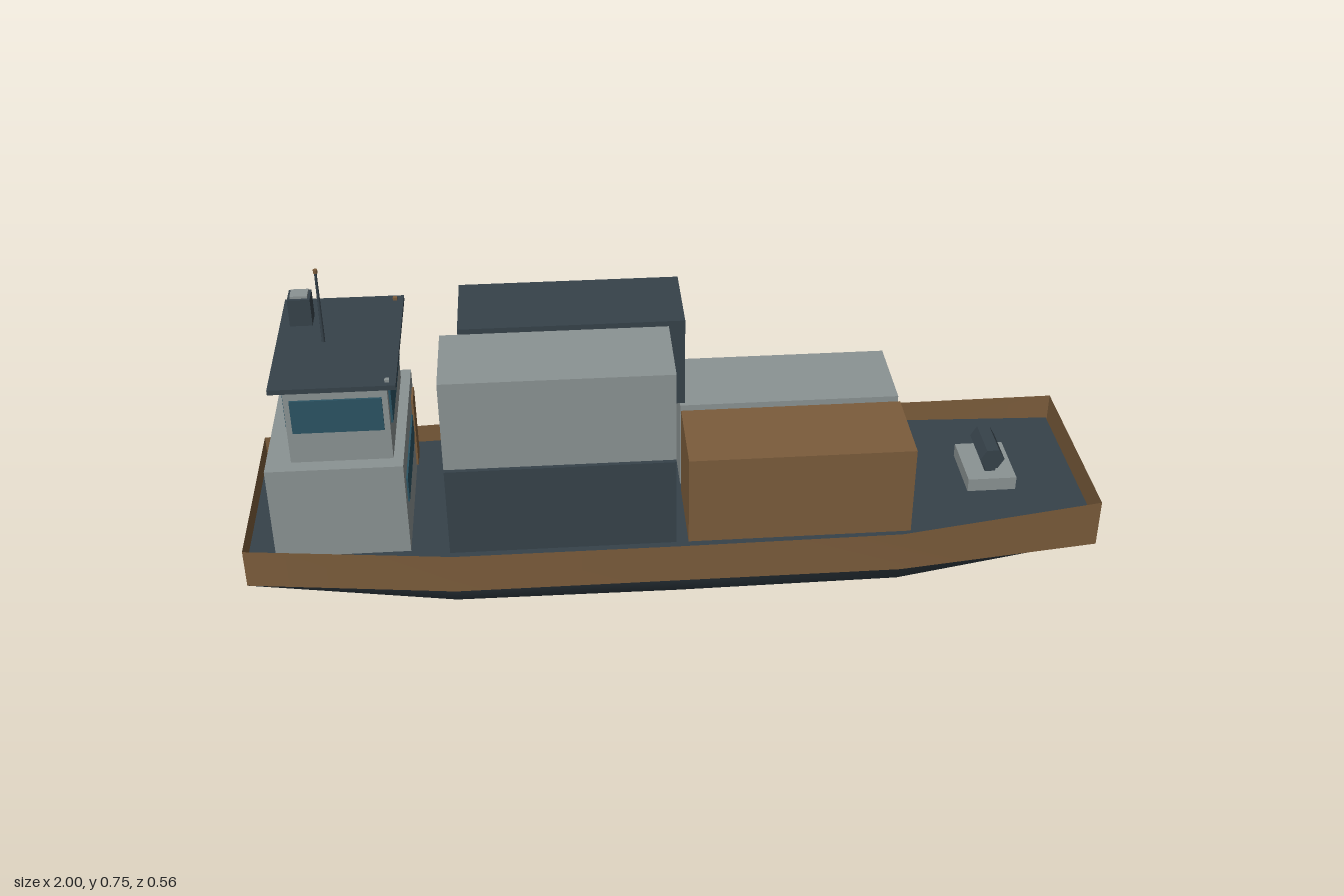
import * as THREE from 'three';

const mat = (name, color, side = THREE.FrontSide) => {
  const m = new THREE.MeshStandardMaterial({ color, side });
  m.name = name;
  return m;
};

export function createModel() {
  const ship = new THREE.Group();
  ship.name = 'cargoShip';
  const rust = mat('rustBrown', 0x7b5c3b, THREE.DoubleSide);
  const slate = mat('slate', 0x36424a, THREE.DoubleSide);
  const grey = mat('paleGrey', 0x8b9393);
  const glass = mat('tealGlass', 0x2b5363);

  const add = (name, geometry, material, x = 0, y = 0, z = 0) => {
    const mesh = new THREE.Mesh(geometry, material);
    mesh.name = name;
    mesh.position.set(x, y, z);
    ship.add(mesh);
    return mesh;
  };
  // Box given by its limits on each axis
  const box = (name, material, [x0, x1], [y0, y1], [z0, z1]) =>
    add(name, new THREE.BoxGeometry(x1 - x0, y1 - y0, z1 - z0), material,
      (x0 + x1) / 2, (y0 + y1) / 2, (z0 + z1) / 2);

  // Hull stations: x, keel y, keel half width, chine y, half width, rim y
  const stations = [
    [-1, 0.055, 0.213, 0.063, 0.237, 0.16],
    [-0.52, 0.004, 0.253, 0.05, 0.281, 0.15],
    [0, 0, 0.253, 0.05, 0.281, 0.149],
    [0.52, 0.004, 0.253, 0.05, 0.281, 0.152],
    [1, 0.055, 0.213, 0.063, 0.237, 0.183],
  ];
  // Loft a strip through one row of points per station
  const loft = (rows) => {
    const n = rows[0].length, index = [];
    for (let i = 0; i < rows.length - 1; i++) {
      for (let j = 0; j < n - 1; j++) {
        const a = i * n + j, b = a + n;
        index.push(a, b, a + 1, b, b + 1, a + 1);
      }
    }
    const g = new THREE.BufferGeometry();
    g.setAttribute('position', new THREE.Float32BufferAttribute(rows.flat(2), 3));
    g.setIndex(index);
    g.computeVertexNormals();
    return g;
  };
  add('leftBulwark', loft(stations.map(([x, , , c, w, r]) => [[x, c, w], [x, r, w]])), rust);
  add('rightBulwark', loft(stations.map(([x, , , c, w, r]) => [[x, r, -w], [x, c, -w]])), rust);
  add('hullBottom', loft(stations.map(([x, k, kw, c, w]) =>
    [[x, c, -w], [x, k, -kw], [x, k, kw], [x, c, w]])), slate);

  // Flat bow and stern plates
  for (const [name, s, turn] of [['stern', stations[0], -1], ['bow', stations[4], 1]]) {
    const [x, k, kw, c, w, r] = s;
    const plate = new THREE.Shape([[-kw, k], [kw, k], [w, c], [w, r], [-w, r], [-w, c]]
      .map(([a, b]) => new THREE.Vector2(a, b)));
    add(name, new THREE.ShapeGeometry(plate), rust, x).rotation.y = turn * Math.PI / 2;
  }

  // Deck, set slightly in from the bulwarks
  const outline = [[-0.995, 0.231], [-0.52, 0.252], [0.52, 0.252], [0.995, 0.231]];
  const deckShape = new THREE.Shape([...outline, ...outline.map(([x, z]) => [x, -z]).reverse()]
    .map(([x, z]) => new THREE.Vector2(x, z)));
  add('deck', new THREE.ExtrudeGeometry(deckShape, { depth: 0.01, bevelEnabled: false }),
    slate, 0, 0.12).rotation.x = Math.PI / 2;

  // Containers: colour, aft end, floor, side
  const containers = [
    [slate, -0.53, 0.12, 1], [rust, 0.025, 0.12, 1],
    [grey, -0.53, 0.12, -1], [grey, 0.025, 0.12, -1],
    [grey, -0.53, 0.353, 1], [slate, -0.49, 0.353, -1],
  ];
  containers.forEach(([m, x, y, side], i) => {
    const z = side * 0.1185;
    box(`container${i + 1}`, m, [x, x + 0.526], [y, y + 0.226], [z - 0.107, z + 0.107]);
  });

  // Deckhouse with forward window and door
  box('deckhouse', grey, [-0.93, -0.62], [0.12, 0.358], [-0.21, 0.21]);
  box('deckhouseWindow', glass, [-0.62, -0.616], [0.232, 0.297], [-0.1, 0.17]);
  box('deckhouseDoor', rust, [-0.62, -0.615], [0.13, 0.32], [-0.19, -0.13]);

  // Bridge, with a window on each side
  box('bridge', grey, [-0.873, -0.643], [0.358, 0.558], [-0.175, 0.175]);
  for (const s of [-1, 1]) {
    const z = s * 0.177, x = -0.758 + s * 0.117;
    box('bridgeSideWindow', glass, [-0.86, -0.656], [0.438, 0.522], [z - 0.003, z + 0.003]);
    box('bridgeEndWindow', glass, [x - 0.003, x + 0.003], [0.438, 0.522], [-0.15, 0.15]);
  }
  box('bridgeRoof', slate, [-0.9, -0.62], [0.557, 0.569], [-0.204, 0.204]);

  // Funnel, mast and roof lights
  box('funnel', slate, [-0.876, -0.824], [0.569, 0.637], [-0.125, -0.075]);
  box('funnelCap', grey, [-0.87, -0.83], [0.637, 0.643], [-0.118, -0.082]);
  add('mast', new THREE.CylinderGeometry(0.003, 0.004, 0.178, 8), slate, -0.793, 0.657, 0);
  add('mastLight', new THREE.CylinderGeometry(0.005, 0.005, 0.009, 8), rust, -0.793, 0.75, 0);
  box('rightRoofLight', rust, [-0.645, -0.635], [0.569, 0.575], [-0.19, -0.18]);
  box('leftRoofLight', grey, [-0.645, -0.635], [0.569, 0.575], [0.18, 0.19]);

  // Anchor winch on the foredeck
  box('winchBase', grey, [0.72, 0.838], [0.12, 0.154], [-0.078, 0.078]);
  box('winchCradle', slate, [0.767, 0.793], [0.154, 0.18], [-0.045, 0.045]);
  const drum = new THREE.CylinderGeometry(0.03, 0.03, 0.11, 6).toNonIndexed();
  drum.computeVertexNormals();
  drum.rotateY(Math.PI / 2).rotateX(Math.PI / 2);
  add('winchDrum', drum, slate, 0.78, 0.194, 0);

  return ship;
}
